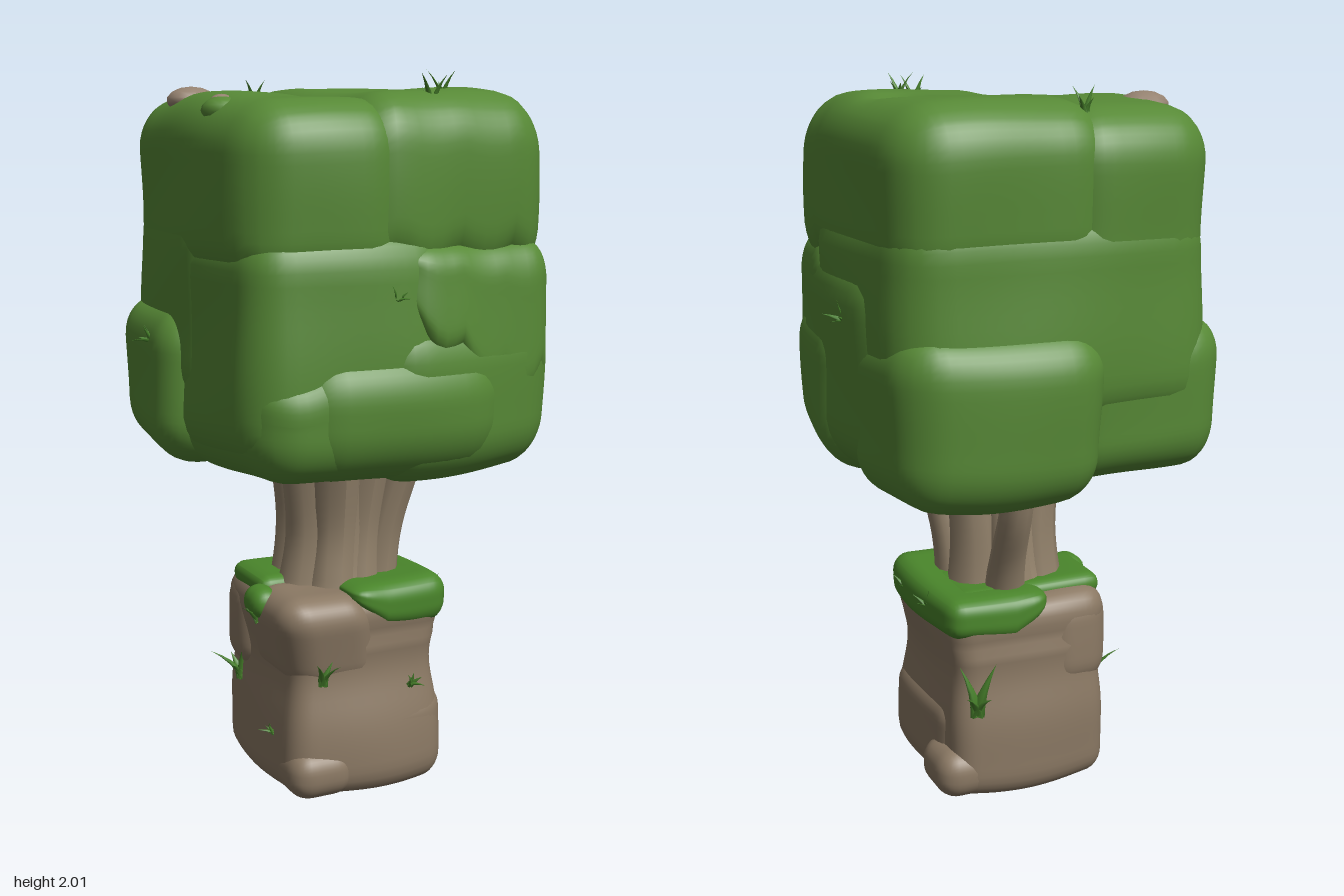
import * as THREE from 'three';
import { mergeVertices, mergeGeometries } from 'three/addons/utils/BufferGeometryUtils.js';

const mat = (name, color) => Object.assign(new THREE.MeshStandardMaterial({ color }), { name });

// Soft lumpy wobble shared by every organic surface
const wobble = (x, y, z) =>
  Math.sin(x * 11 + y * 5 + 1) + Math.sin(y * 12 - z * 6 + 2) + Math.sin(z * 10 + x * 7 + 4);

// Pulls the four upright corners of a mass towards its centre so that it reads as a cushion
function cushion(v, size, midY, amount) {
  const corner = Math.min(((v.x * v.z) / (size * size)) ** 2, 1);
  v.x *= 1 - amount * corner;
  v.z *= 1 - amount * corner;
  v.y = midY + (v.y - midY) * (1 - amount * 0.6 * corner);
}

// Rounded block given by its extents [x0, x1, y0, y1, z0, z1], with an optional warp rule
function block([x0, x1, y0, y1, z0, z1], r, lump = 0.004, warp = null, n = 18) {
  const half = new THREE.Vector3((x1 - x0) / 2, (y1 - y0) / 2, (z1 - z0) / 2);
  const mid = new THREE.Vector3((x0 + x1) / 2, (y0 + y1) / 2, (z0 + z1) / 2);
  const raw = new THREE.BoxGeometry(half.x * 2, half.y * 2, half.z * 2, n, n, n);
  raw.deleteAttribute('uv');
  raw.deleteAttribute('normal');
  const g = mergeVertices(raw);
  const inner = half.clone().subScalar(r).max(new THREE.Vector3(0.001, 0.001, 0.001));
  const p = g.attributes.position, v = new THREE.Vector3(), c = new THREE.Vector3(), d = new THREE.Vector3();
  for (let i = 0; i < p.count; i++) {
    v.fromBufferAttribute(p, i);
    c.copy(v).clamp(inner.clone().negate(), inner);
    d.subVectors(v, c).normalize();
    v.copy(c).addScaledVector(d, r).add(mid);
    v.addScaledVector(d, lump * wobble(v.x, v.y, v.z));
    if (warp) warp(v, (y1 - v.y) / (y1 - y0));
    p.setXYZ(i, v.x, v.y, v.z);
  }
  g.computeVertexNormals();
  return g;
}

// Tube along a curve whose radius goes from r0 to r1
function limb(points, r0, r1) {
  const curve = new THREE.CatmullRomCurve3(points.map(a => new THREE.Vector3(...a)));
  const g = new THREE.TubeGeometry(curve, 14, 1, 10);
  const p = g.attributes.position, v = new THREE.Vector3();
  for (let i = 0; i < p.count; i++) {
    const t = Math.floor(i / 11) / 14, c = curve.getPointAt(t);
    const flare = 1 + 0.25 * Math.pow(1 - t, 5);
    v.fromBufferAttribute(p, i).sub(c).multiplyScalar((r0 + (r1 - r0) * t) * flare).add(c);
    p.setXYZ(i, v.x, v.y, v.z);
  }
  g.computeVertexNormals();
  return g;
}

// Tuft of bent, flattened blades growing along +y
function tuft(size, blades) {
  const list = [];
  for (let k = 0; k < blades; k++) {
    const h = size * (0.75 + 0.25 * Math.sin(k * 2.4 + 1));
    const g = new THREE.ConeGeometry(size * 0.17, h, 5, 4).translate(0, h / 2, 0);
    const p = g.attributes.position;
    for (let i = 0; i < p.count; i++) {
      const t = p.getY(i) / h;
      p.setZ(i, p.getZ(i) * 0.5 + t * t * h * 0.35);
    }
    list.push(g.rotateX(0.15).rotateY((k / blades) * Math.PI * 2 + 0.5));
  }
  const m = mergeGeometries(list);
  m.computeVertexNormals();
  return m;
}

export function createModel() {
  const root = new THREE.Group();
  root.name = 'blockTree';
  const foliage = mat('foliageGreen', 0x578936), moss = mat('mossGreen', 0x4a862b);
  const grass = mat('grassGreen', 0x467f2a), rock = mat('rockBrown', 0x8b7964);
  const bark = mat('barkBrown', 0x95846d), stone = mat('stoneBrown', 0x958270);
  const group = name => {
    const g = new THREE.Group();
    g.name = name;
    root.add(g);
    return g;
  };
  const add = (parent, name, geo, material) => {
    const m = new THREE.Mesh(geo, material);
    m.name = name;
    parent.add(m);
    return m;
  };

  // Rock pedestal, pinched in the middle
  const pedestal = group('pedestal');
  const rockRound = v => cushion(v, 0.26, 0.3, 0.07);
  add(pedestal, 'rockBody', block([-0.25, 0.262, 0.01, 0.585, -0.27, 0.268], 0.07, 0.005, v => {
    const pinch = 1 - 0.1 * Math.exp(-(((v.y - 0.38) / 0.12) ** 2));
    v.x *= pinch;
    v.z *= pinch * (v.y > 0.45 ? 0.95 : 1);
    rockRound(v);
  }, 24), rock);
  add(pedestal, 'rockFoot', block([0.0, 0.268, 0.02, 0.29, -0.2, 0.265], 0.08, 0.004, rockRound), rock);
  add(pedestal, 'rockShoulder', block([-0.275, 0.02, 0.3, 0.592, -0.02, 0.278], 0.09, 0.004, (v, t) => {
    v.z -= 0.05 * t;
    v.x += 0.06 * t;
  }), rock);
  add(pedestal, 'rockBackCorner', block([-0.25, -0.04, 0.3, 0.585, -0.25, -0.03], 0.08, 0.004, rockRound), rock);
  // Low bulges on two opposite corners
  add(pedestal, 'rockBulge', block([0.08, 0.288, 0.015, 0.16, -0.255, -0.05], 0.065, 0, null, 12), rock);
  add(pedestal, 'rockBulge', block([-0.24, -0.04, 0.015, 0.16, 0.08, 0.28], 0.065, 0, null, 12), rock);

  // Moss draped over the pedestal
  add(pedestal, 'mossCap', block([-0.045, 0.268, 0.485, 0.612, -0.255, 0.255], 0.05, 0.003, (v, t) => {
    v.y += t * 0.007 * Math.sin(v.x * 16 + v.z * 9);
    if (v.x < 0.06) v.y += 0.07 * t * (0.06 - v.x) / 0.1;
    cushion(v, 0.26, 0.55, 0.06);
  }), moss);
  add(pedestal, 'mossTop', block([-0.235, 0.2, 0.55, 0.612, -0.18, 0.05], 0.03, 0.002), moss);
  add(pedestal, 'mossEdge', block([-0.282, -0.2, 0.51, 0.594, 0.0, 0.11], 0.04, 0.002, null, 8), moss);

  // Trunk made of merged stems
  const trunk = group('trunk');
  [
    [[[0, 0.57, 0], [0, 0.8, 0.01], [0.02, 1.05, 0.04]], 0.122, 0.14],
    [[[-0.1, 0.57, 0.03], [-0.085, 0.75, 0.04], [-0.12, 1.05, 0.07]], 0.062, 0.075],
    [[[-0.04, 0.57, 0.08], [-0.03, 0.75, 0.08], [-0.05, 1.05, 0.14]], 0.06, 0.08],
    [[[0.04, 0.57, 0.08], [0.05, 0.75, 0.075], [0.07, 1.05, 0.12]], 0.056, 0.075],
    [[[0.115, 0.57, 0.06], [0.135, 0.75, 0.08], [0.2, 1.05, 0.15]], 0.05, 0.055],
    [[[0.1, 0.57, -0.03], [0.11, 0.78, -0.05], [0.15, 1.05, -0.06]], 0.064, 0.07],
    [[[-0.08, 0.57, -0.05], [-0.07, 0.78, -0.05], [-0.1, 1.05, -0.05]], 0.068, 0.08],
    [[[0, 0.57, -0.08], [0.02, 0.78, -0.075], [0.02, 1.05, -0.07]], 0.06, 0.065],
    [[[0.04, 0.57, -0.11], [0.05, 0.7, -0.165], [0.06, 0.85, -0.24], [0.06, 1.05, -0.29]], 0.05, 0.044],
  ].forEach(([pts, r0, r1]) => add(trunk, 'stem', limb(pts, r0, r1), bark));

  // Crown: overlapping rounded leaf blocks, some with scalloped lower edges
  const crown = group('crown');
  const topRight = (v, t) => {
    if (v.z > 0.2) v.y -= t * 0.05 * Math.abs(Math.sin(v.x * 17 + 0.4));
    if (t < 0.3) v.y -= 0.03 * Math.exp(-((v.x - 0.31) ** 2 + (v.z + 0.03) ** 2) / 0.004);
  };
  const slopedSkirt = (v, t) => {
    if (v.z < 0.2) return;
    v.y += t * (0.2 - 0.75 * Math.min(Math.max(v.x, 0), 0.3));
    v.y -= t * 0.07 * Math.abs(Math.sin(v.x * 21));
  };
  const wavyTop = (v, t) => {
    if (v.z > 0.3 && t < 0.5) v.y -= 0.04 * Math.abs(Math.sin(v.x * 14)) * (1 - t);
  };
  [
    ['topRightLeaves', [-0.14, 0.482, 1.5, 1.965, -0.468, 0.458], 0.14, topRight],
    ['topLeftLeaves', [-0.458, 0.03, 1.45, 1.948, -0.47, 0.455], 0.14],
    ['middleLeftLeaves', [-0.452, 0.15, 0.99, 1.62, -0.05, 0.475], 0.12],
    ['middleRightSkirt', [-0.02, 0.495, 1.2, 1.58, 0.05, 0.492], 0.1, slopedSkirt],
    ['middleBackLeaves', [-0.458, 0.485, 1.1, 1.72, -0.475, 0.2], 0.14],
    ['rightLeaves', [0.0, 0.5, 0.96, 1.58, -0.32, 0.42], 0.14],
    ['lowerRightLeaves', [-0.1, 0.511, 0.935, 1.4, -0.05, 0.492], 0.14],
    ['lowerLeftLeaves', [-0.438, 0.05, 0.955, 1.3, -0.1, 0.497], 0.13, wavyTop],
    ['lowerFrontLeaves', [-0.34, 0.34, 0.95, 1.32, 0.1, 0.512], 0.16],
    ['backRightLeaves', [-0.11, 0.5, 0.925, 1.4, -0.525, -0.07], 0.13],
    ['backLeftLeaves', [-0.512, 0.02, 0.96, 1.385, -0.465, 0.05], 0.12],
    ['innerLeaves', [-0.4, 0.42, 1.0, 1.85, -0.4, 0.4], 0.1],
  ].forEach(([name, box, r, warp]) => add(crown, name, block(box, r, 0.005, (v, t) => {
    if (warp) warp(v, t);
    cushion(v, 0.48, 1.45, 0.08);
  }), foliage));
  const bump = add(crown, 'leafBump', new THREE.SphereGeometry(1, 12, 8), foliage);
  bump.position.set(-0.372, 1.908, 0.13);
  bump.scale.set(0.055, 0.036, 0.062);

  // Stones lying on the crown
  [[-0.335, 1.935, -0.19, 0.072, 0.038], [-0.368, 1.934, 0.115, 0.03, 0.016]].forEach(([x, y, z, r, h]) => {
    const s = add(crown, 'stone', new THREE.SphereGeometry(1, 9, 7), stone);
    s.position.set(x, y, z);
    s.scale.set(r, h, r * 0.9);
  });

  // Grass tufts: position, growing direction, size
  const tufts = group('grassTufts');
  [
    [[-0.07, 1.92, -0.37], [0, 1, 0], 0.085],
    [[0.19, 1.935, 0.28], [0, 1, 0], 0.085],
    [[0.12, 1.91, 0.35], [0, 1, 0], 0.1],
    [[0.48, 1.39, -0.11], [1, 0.7, 0], 0.075],
    [[-0.48, 1.28, -0.11], [-1, 0.7, 0], 0.08],
    [[-0.04, 1.43, 0.46], [0, 0.8, 1], 0.065],
    [[-0.14, 0.35, 0.24], [0, 1, 0.35], 0.1],
    [[0.13, 0.31, 0.25], [0, 0.8, 1], 0.065],
    [[0.18, 0.28, -0.245], [0.1, 1, -0.4], 0.15],
    [[-0.23, 0.27, -0.12], [-0.4, 1, 0], 0.12],
    [[0.25, 0.53, 0.1], [0.4, 1, 0], 0.075],
    [[0.25, 0.54, -0.07], [0.6, 1, 0], 0.065],
    [[-0.26, 0.5, 0.07], [-0.4, 1, 0], 0.075],
    [[-0.235, 0.18, 0.12], [-1, 0.9, 0], 0.05],
  ].forEach(([pos, dir, size], i) => {
    const t = add(tufts, 'grassTuft', tuft(size, 4 + (i % 2)), grass);
    t.position.set(...pos);
    t.quaternion.setFromUnitVectors(new THREE.Vector3(0, 1, 0), new THREE.Vector3(...dir).normalize());
  });
  return root;
}
